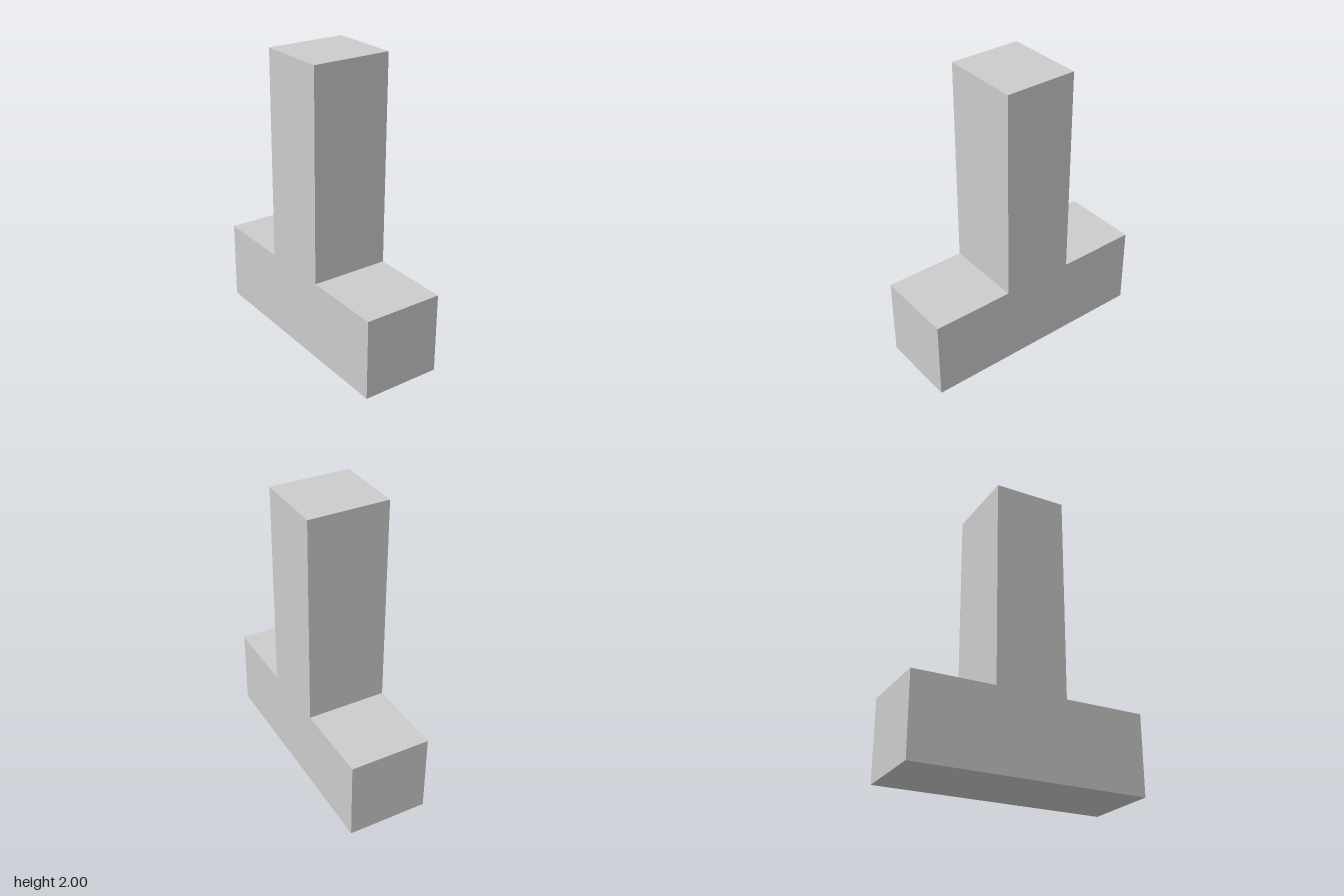
import * as THREE from 'three';

const WIDTH = 0.55;
const BASE_HALF = 0.807, BASE_TOP = 0.555;
const POST_HALF = 0.248, POST_TOP = 2;

export function createModel() {
  const group = new THREE.Group();
  group.name = 'invertedTeeBlock';

  // Side profile: a long base with an upright post at its middle
  const half = [[BASE_HALF, 0], [BASE_HALF, BASE_TOP], [POST_HALF, BASE_TOP], [POST_HALF, POST_TOP]];
  const mirrored = half.map(([z, y]) => [-z, y]).reverse();
  const profile = new THREE.Shape([...half, ...mirrored].map(([z, y]) => new THREE.Vector2(z, y)));

  // Extrude across the width, then turn the profile to run along z
  const geometry = new THREE.ExtrudeGeometry(profile, { depth: WIDTH, bevelEnabled: false });
  geometry.translate(0, 0, -WIDTH / 2);
  geometry.rotateY(-Math.PI / 2);

  const block = new THREE.Mesh(geometry, new THREE.MeshStandardMaterial({ color: 0xcccccc, flatShading: true }));
  block.name = 'baseAndPost';
  group.add(block);
  return group;
}
